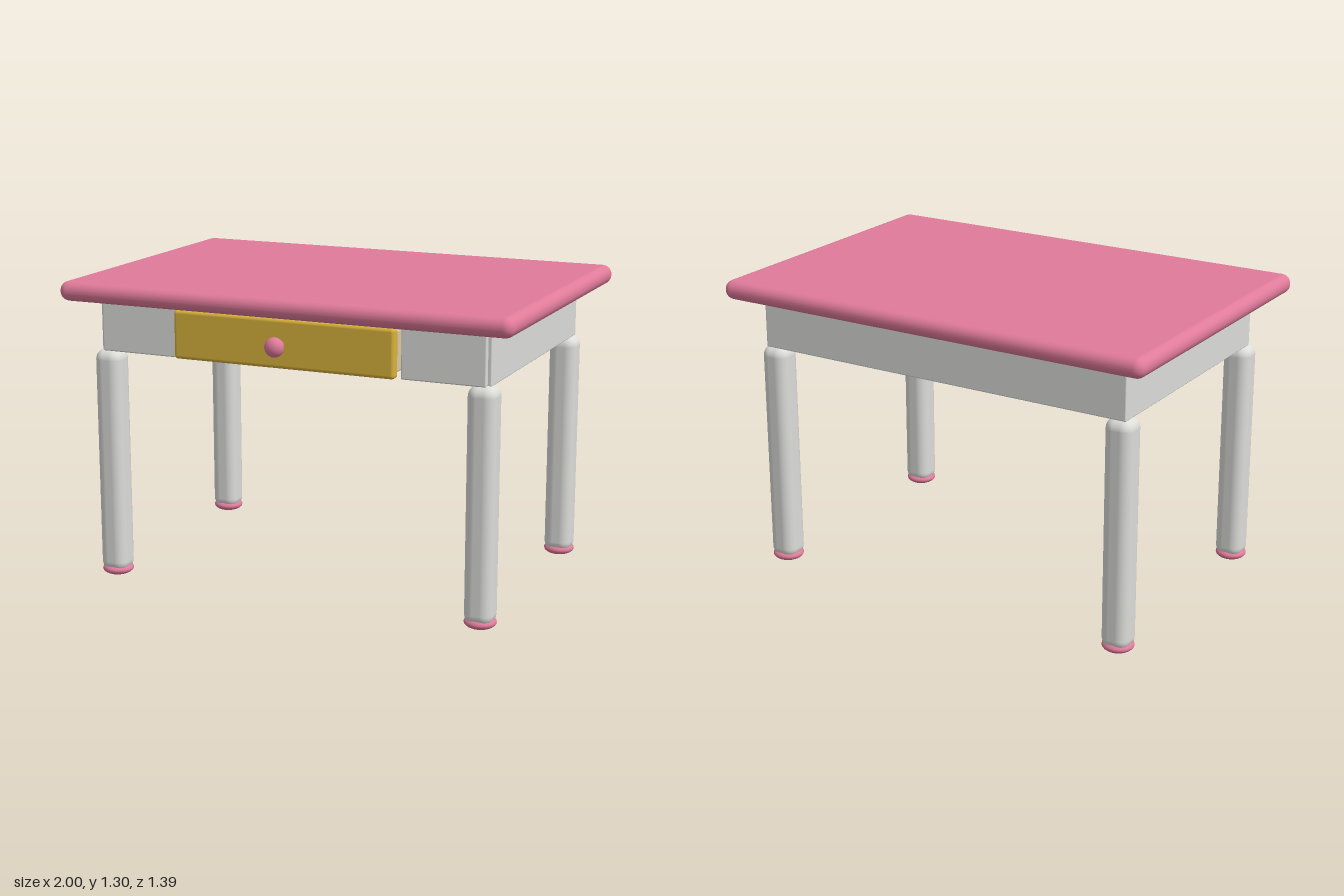
import * as THREE from 'three';
import { RoundedBoxGeometry } from 'three/addons/geometries/RoundedBoxGeometry.js';

function material(name, color) {
  const m = new THREE.MeshStandardMaterial({ color });
  m.name = name;
  return m;
}

export function createModel() {
  const pink = material('pink', 0xe07b9a);
  const white = material('white', 0xdcdcd9);
  const yellow = material('yellow', 0xd8b13c);
  const beige = material('beige', 0xd9caa4);

  const model = new THREE.Group();
  model.name = 'table';

  const add = (name, geometry, mat, x = 0, y = 0, z = 0, parent = model) => {
    const mesh = new THREE.Mesh(geometry, mat);
    mesh.name = name;
    mesh.position.set(x, y, z);
    parent.add(mesh);
    return mesh;
  };

  // Rounded board given by its minimum and maximum corners
  const board = (name, mat, [x0, y0, z0], [x1, y1, z1], radius, parent = model) =>
    add(name, new RoundedBoxGeometry(x1 - x0, y1 - y0, z1 - z0, 4, radius), mat,
      (x0 + x1) / 2, (y0 + y1) / 2, (z0 + z1) / 2, parent);

  board('tableTop', pink, [-1, 1.22, -0.695], [1, 1.304, 0.676], 0.041);

  // Apron with an opening for the drawer at the front
  board('backApron', white, [-0.872, 1, -0.572], [0.872, 1.222, -0.545], 0.006);
  for (const s of [-1, 1]) {
    const side = s > 0 ? 'left' : 'right';
    const span = (a, b) => (s > 0 ? [a, b] : [-b, -a]);
    const [a0, a1] = span(0.846, 0.872);
    board(side + 'Apron', white, [a0, 1, -0.57], [a1, 1.222, 0.535], 0.006);
    const [f0, f1] = span(0.5, 0.856);
    board(side + 'FrontApron', white, [f0, 1, 0.528], [f1, 1.222, 0.556], 0.006);
  }

  // Legs with soft edges and flattened round feet
  const legShape = new RoundedBoxGeometry(0.122, 0.985, 0.122, 5, 0.045);
  const footShape = new THREE.SphereGeometry(0.067, 24, 16).scale(1, 0.42, 1);
  for (const x of [-0.838, 0.838]) {
    for (const z of [-0.53, 0.518]) {
      const name = (z > 0 ? 'front' : 'back') + (x > 0 ? 'Left' : 'Right');
      add(name + 'Leg', legShape, white, x, 0.5125, z);
      add(name + 'Foot', footShape, pink, x, 0.028, z);
    }
  }

  // Drawer: front panel and open box
  const drawer = new THREE.Group();
  drawer.name = 'drawer';
  model.add(drawer);
  board('drawerFront', yellow, [-0.49, 1.006, 0.556], [0.49, 1.211, 0.604], 0.015, drawer);
  board('drawerBottom', beige, [-0.458, 1.012, -0.368], [0.458, 1.032, 0.558], 0.004, drawer);
  board('drawerBack', beige, [-0.46, 1.015, -0.37], [0.46, 1.18, -0.345], 0.004, drawer);
  board('drawerRightSide', beige, [-0.46, 1.015, -0.37], [-0.435, 1.18, 0.558], 0.004, drawer);
  board('drawerLeftSide', beige, [0.435, 1.015, -0.37], [0.46, 1.18, 0.558], 0.004, drawer);

  // Knob: small bead on a neck, then a flattened ball
  add('knobBead', new THREE.SphereGeometry(0.02, 20, 12), pink, 0, 1.108, 0.62, drawer);
  const neck = new THREE.CylinderGeometry(0.011, 0.011, 0.05, 16).rotateX(Math.PI / 2);
  add('knobNeck', neck, pink, 0, 1.108, 0.628, drawer);
  const ball = new THREE.SphereGeometry(0.041, 28, 18).scale(1, 1, 0.83);
  add('knobBall', ball, pink, 0, 1.108, 0.665, drawer);

  return model;
}
